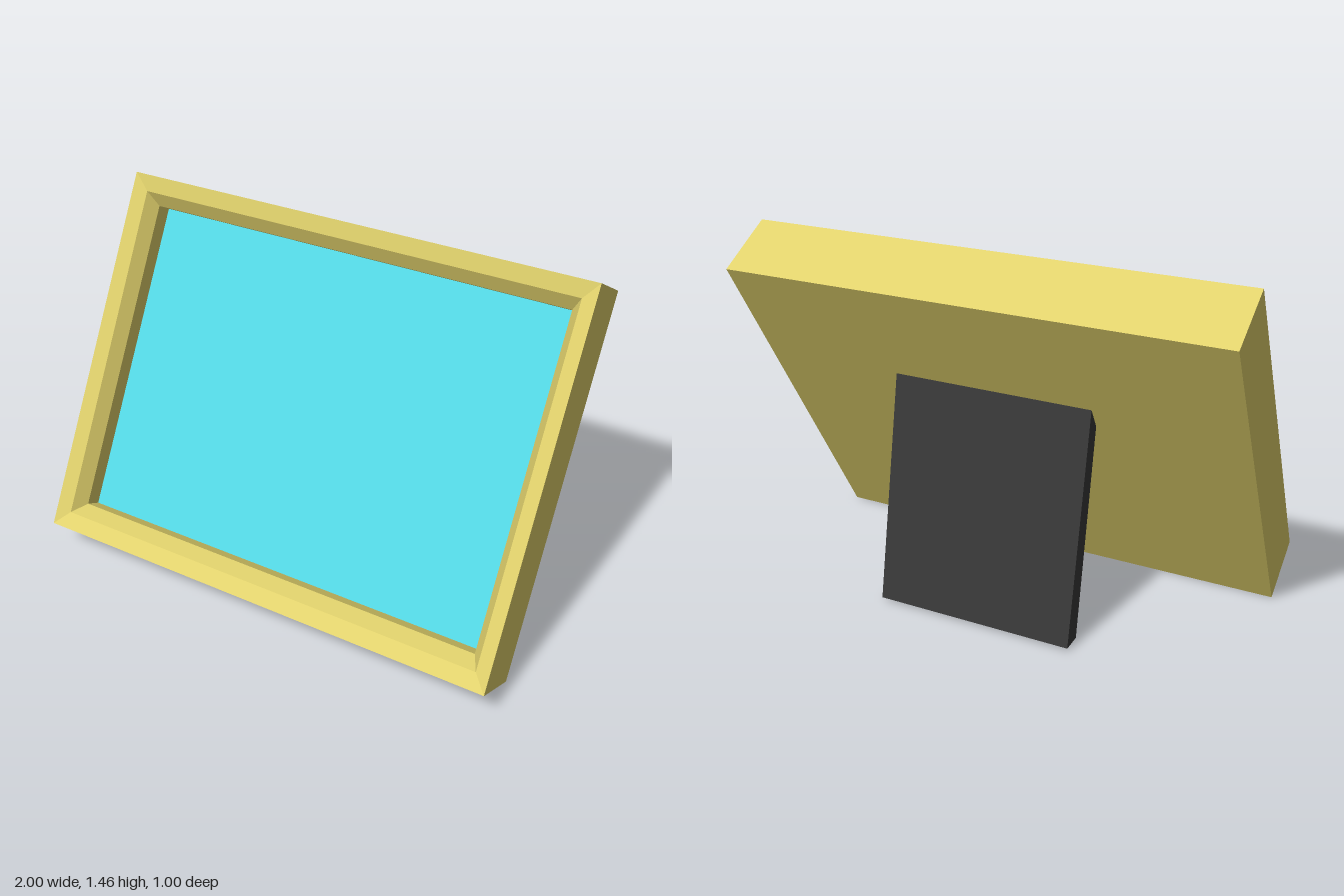
import * as THREE from 'three';

const material = (color) => new THREE.MeshStandardMaterial({ color, flatShading: true });

// Skin a series of rectangular rings [halfWidth, halfHeight, z], closing the first one.
function rectangularLoft(rings) {
  const corners = [[-1, -1], [1, -1], [1, 1], [-1, 1]];
  const positions = [];
  const indices = [0, 3, 2, 0, 2, 1];
  rings.forEach(([w, h, z], i) => {
    corners.forEach(([sx, sy], j) => {
      positions.push(sx * w, sy * h, z);
      if (i === rings.length - 1) return;
      const a = i * 4 + j, b = i * 4 + (j + 1) % 4;
      indices.push(a, b, b + 4, a, b + 4, a + 4);
    });
  });
  const indexed = new THREE.BufferGeometry();
  indexed.setAttribute('position', new THREE.Float32BufferAttribute(positions, 3));
  indexed.setIndex(indices);
  const geometry = indexed.toNonIndexed();
  geometry.computeVertexNormals();
  return geometry;
}

export function createModel() {
  const model = new THREE.Group();
  model.name = 'pictureFrame';

  // Leaning body: frame and picture panel share the tilt
  const body = new THREE.Group();
  body.name = 'leaningBody';
  body.position.y = 0.733;
  body.rotation.x = -Math.PI / 6;
  model.add(body);

  // Frame: back, outer sides, sloped rim, steeper bevel, straight inner wall
  const panelZ = -0.015;
  const frame = new THREE.Mesh(rectangularLoft([
    [1, 0.766, -0.137],
    [1, 0.766, 0.137],
    [0.942, 0.7, 0.116],
    [0.905, 0.654, 0.058],
    [0.905, 0.654, panelZ],
  ]), material(0xe0d16c));
  frame.name = 'frame';
  body.add(frame);

  // Picture panel at the bottom of the recess
  const panel = new THREE.Mesh(new THREE.PlaneGeometry(1.81, 1.308), material(0x54d8e4));
  panel.name = 'picturePanel';
  panel.position.z = panelZ;
  body.add(panel);

  // Rear support: slightly tapered side profile (z, y), its top sunk into the back
  const profile = new THREE.Shape([
    [-0.45, 0.014], [-0.37, 0.014], [-0.206, 0.93], [-0.266, 0.94],
  ].map(([z, y]) => new THREE.Vector2(z, y)));
  const width = 0.82;
  const supportGeometry = new THREE.ExtrudeGeometry(profile, { depth: width, bevelEnabled: false });
  supportGeometry.rotateY(-Math.PI / 2).translate(width / 2, 0, 0);
  const support = new THREE.Mesh(supportGeometry, material(0x383838));
  support.name = 'rearSupport';
  model.add(support);

  return model;
}
